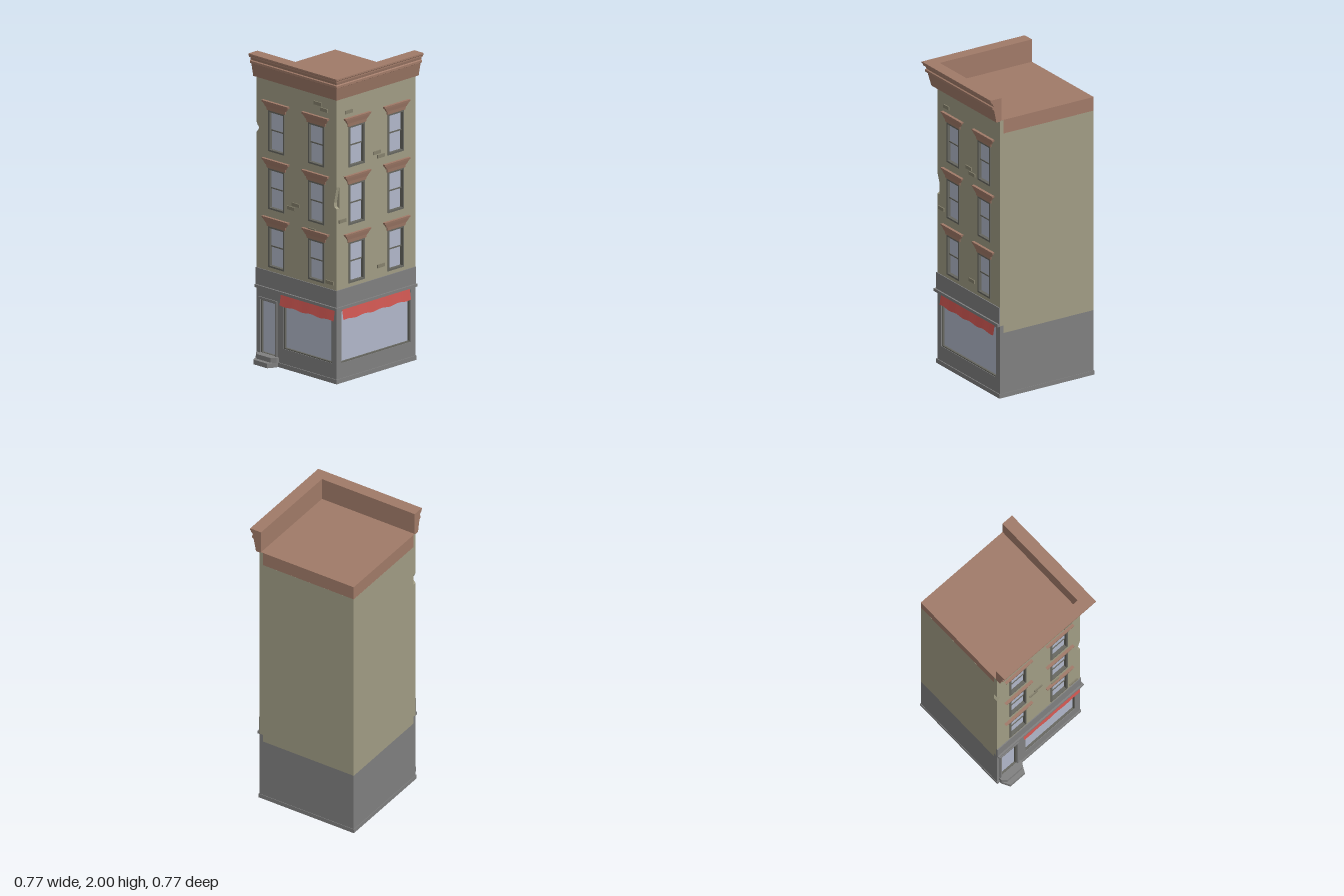
import * as THREE from 'three';

const mat = (color, side = THREE.FrontSide) =>
  new THREE.MeshStandardMaterial({ color, side, flatShading: true, roughness: 0.9 });
const M = {
  wall: mat(0xa09c84), shop: mat(0x7f7f7f), trim: mat(0xa07a68), glass: mat(0xb1b7c9),
  frame: mat(0x66665f), brick: mat(0x85806c), awning: mat(0xcb5550, THREE.DoubleSide),
};
const W = 0.312, B = -0.382, T = 0.025; // street wall plane, rear plane, facade thickness

function add(parent, name, geo, material, x = 0, y = 0, z = 0) {
  const m = new THREE.Mesh(geo, material);
  m.name = name;
  m.position.set(x, y, z);
  parent.add(m);
  return m;
}

// box given by its limits
function block(parent, name, material, x0, x1, y0, y1, z0, z1) {
  return add(parent, name, new THREE.BoxGeometry(x1 - x0, y1 - y0, z1 - z0), material,
    (x0 + x1) / 2, (y0 + y1) / 2, (z0 + z1) / 2);
}

const rect = (C, x0, x1, y0, y1) => new C([[x0, y0], [x1, y0], [x1, y1], [x0, y1]]
  .map(([x, y]) => new THREE.Vector2(x, y)));

// flat panel with rectangular openings
function panel(parent, name, material, outline, holes, z0, z1) {
  const s = new THREE.Shape(outline.map(([x, y]) => new THREE.Vector2(x, y)));
  holes.forEach(h => s.holes.push(rect(THREE.Path, ...h)));
  add(parent, name, new THREE.ExtrudeGeometry(s, { depth: z1 - z0, bevelEnabled: false }), material, 0, 0, z0);
}

const border = (parent, name, material, [x0, x1, y0, y1], b, z0, z1) =>
  panel(parent, name, material, [[x0, y0], [x1, y0], [x1, y1], [x0, y1]],
    [[x0 + b, x1 - b, y0 + b, y1 - b]], z0, z1);

// box whose top is wider and deeper than its bottom, back against the wall
function flare(parent, name, x, y0, y1, half0, half1, out0, out1) {
  const g = new THREE.BoxGeometry(2, 1, 1), p = g.attributes.position;
  for (let i = 0; i < p.count; i++) {
    const top = p.getY(i) > 0;
    p.setXYZ(i, p.getX(i) * (top ? half1 : half0), top ? y1 : y0,
      p.getZ(i) > 0 ? W + (top ? out1 : out0) : W - 0.005);
  }
  g.computeVertexNormals();
  add(parent, name, g, M.trim, x);
}

function sashWindow(parent, x, y) {
  const g = new THREE.Group();
  g.name = 'window';
  parent.add(g);
  const h = 0.07, top = y + 0.265, mid = y + 0.137;
  border(g, 'windowFrame', M.frame, [x - h, x + h, y, top], 0.011, W - T, W + 0.004);
  block(g, 'upperGlass', M.glass, x - h + 0.01, x + h - 0.01, mid, top - 0.01, W - T, W - 0.014);
  block(g, 'lowerGlass', M.glass, x - h + 0.01, x + h - 0.01, y + 0.01, mid, W - T, W - 0.019);
  block(g, 'sashRail', M.frame, x - h + 0.01, x + h - 0.01, mid - 0.004, mid + 0.004, W - T, W - 0.009);
  flare(g, 'lintelBase', x, top, top + 0.022, 0.078, 0.083, 0.006, 0.009);
  flare(g, 'lintelCrown', x, top + 0.022, top + 0.047, 0.087, 0.104, 0.01, 0.016);
  flare(g, 'lintelCap', x, top + 0.047, top + 0.06, 0.11, 0.113, 0.017, 0.019);
}

// cloth valance with a rippled lower edge
function awning(parent, x0, x1) {
  const g = new THREE.PlaneGeometry(x1 - x0, 0.075, 32, 1), p = g.attributes.position;
  for (let i = 0; i < p.count; i++) {
    if (p.getY(i) > 0) continue;
    const x = p.getX(i);
    p.setY(i, p.getY(i) + 0.004 * Math.sin(x * 42));
    p.setZ(i, 0.013);
  }
  g.computeVertexNormals();
  add(parent, 'awning', g, M.awning, (x0 + x1) / 2, 0.4425, W + 0.002);
}

// one street side, built facing +z
function facade(name, o) {
  const g = new THREE.Group();
  g.name = name;
  const rows = [0.627, 1.003, 1.377], holes = [];
  for (const x of o.windows) for (const y of rows) {
    holes.push([x - 0.07, x + 0.07, y, y + 0.265]);
    sashWindow(g, x, y);
  }
  const [x0, x1] = o.span;
  panel(g, 'upperWall', M.wall, [[x0, 0.48], [x1, 0.48], ...o.rightChip, [x1, 1.85], [x0, 1.85], ...o.leftChip],
    holes, W - T, W);
  panel(g, 'shopWall', M.shop, [[x0, 0], [x1, 0], [x1, 0.48], [x0, 0.48]], o.openings, W - T, W);
  // shop window and door panes
  o.openings.forEach((r, i) => {
    border(g, i ? 'doorFrame' : 'shopWindowFrame', M.frame, r, 0.007, W - T, W - 0.004);
    block(g, i ? 'doorGlass' : 'shopGlass', M.glass, r[0], r[1], r[2], r[3], W - T, W - 0.018);
  });
  awning(g, ...o.awning);
  // shop fascia with ledges
  block(g, 'fascia', M.shop, o.band[0], o.band[1], 0.485, 0.603, W - 0.01, W + 0.006);
  block(g, 'fasciaLedge', M.shop, o.band[0], o.band[1] + o.corner, 0.477, 0.495, W - 0.01, W + 0.017);
  o.bricks.forEach(([x, y]) => block(g, 'exposedBrick', M.brick, x, x + 0.063, y - 0.011, y + 0.011, W - 0.01, W + 0.007));
  return g;
}

// moulded cornice: one section swept round the street corner with a mitre
function cornice() {
  const sec = [[-0.01, 1.845], [0.027, 1.845], [0.044, 1.93], [0.056, 1.936], [0.056, 1.95], [0.049, 1.955],
    [0.053, 1.972], [0.064, 1.976], [0.064, 1.985], [0.07, 1.99], [0.07, 2], [-0.01, 2]];
  const rings = [
    sec.map(([d, y]) => [B, y, W + d]),
    sec.map(([d, y]) => [W + d, y, W + d]),
    sec.map(([d, y]) => [W + d, y, B]),
  ];
  const pos = [], n = sec.length;
  for (let r = 0; r < 2; r++) for (let i = 0; i < n; i++) {
    const j = (i + 1) % n, a = rings[r][i], b = rings[r + 1][i], c = rings[r + 1][j], d = rings[r][j];
    pos.push(...a, ...b, ...c, ...a, ...c, ...d);
  }
  const caps = THREE.ShapeUtils.triangulateShape(sec.map(([d, y]) => new THREE.Vector2(d, y)), []);
  for (const [a, b, c] of caps) {
    pos.push(...rings[0][a], ...rings[0][b], ...rings[0][c]);
    pos.push(...rings[2][a], ...rings[2][c], ...rings[2][b]);
  }
  const g = new THREE.BufferGeometry();
  g.setAttribute('position', new THREE.Float32BufferAttribute(pos, 3));
  g.computeVertexNormals();
  return g;
}

// step with splayed sides
function step(parent, y0, y1, back, front, z1) {
  const c = -0.276, z0 = W - 0.02;
  const s = new THREE.Shape([[c - back, -z0], [c - back, -W - 0.02], [c - front, -z1], [c + front, -z1],
    [c + back, -W - 0.02], [c + back, -z0]].map(([x, y]) => new THREE.Vector2(x, y)));
  const m = add(parent, 'doorStep', new THREE.ExtrudeGeometry(s, { depth: y1 - y0, bevelEnabled: false }), M.shop, 0, y0);
  m.rotation.x = -Math.PI / 2;
}

export function createModel() {
  const model = new THREE.Group();
  model.name = 'cornerBuilding';

  // core: plain rear and side walls, roof
  const C = W - T;
  block(model, 'lowerCore', M.shop, B, C, 0, 0.43, B, C);
  block(model, 'upperCore', M.wall, B, C, 0.43, 1.76, B, C);
  block(model, 'roof', M.trim, B, W, 1.76, 1.851, B, W - 0.0005).scale.set(0.9995, 1, 0.9995);
  block(model, 'plinth', M.shop, B - 0.003, W + 0.006, 0, 0.028, B - 0.003, W + 0.006);
  add(model, 'cornice', cornice(), M.trim);

  const front = facade('frontFacade', {
    span: [B, W], band: [B, W + 0.006], corner: 0.011, windows: [-0.207, 0.137],
    openings: [[-0.145, 0.272, 0.125, 0.465], [-0.345, -0.215, 0.055, 0.405]],
    awning: [-0.167, 0.3],
    rightChip: [[W, 1.13], [W - 0.02, 1.14], [W - 0.022, 1.165], [W, 1.27]],
    leftChip: [[B, 1.55], [B + 0.012, 1.525], [B + 0.028, 1.51], [B, 1.475]],
    bricks: [[0.12, 1.78], [0.175, 1.75], [-0.07, 1.08], [-0.11, 1.05], [0.225, 0.645], [0.07, 0.95]],
  });
  border(front, 'doorSurround', M.shop, [-0.36, -0.2, 0.03, 0.42], 0.015, W - 0.01, W + 0.007);
  const side = facade('sideFacade', {
    span: [-C, -B], band: [-W, -B], corner: 0, windows: [-0.137, 0.207],
    openings: [[-0.27, 0.338, 0.125, 0.465]],
    awning: [-0.267, 0.328], rightChip: [], leftChip: [],
    bricks: [[-0.24, 1.74], [0.007, 1.42], [0.045, 1.39], [-0.295, 1.045], [0.043, 0.68]],
  });
  side.rotation.y = Math.PI / 2;
  model.add(front, side);

  // entrance steps
  step(model, 0, 0.03, 0.088, 0.06, 0.385);
  step(model, 0.03, 0.06, 0.088, 0.06, 0.357);
  return model;
}
